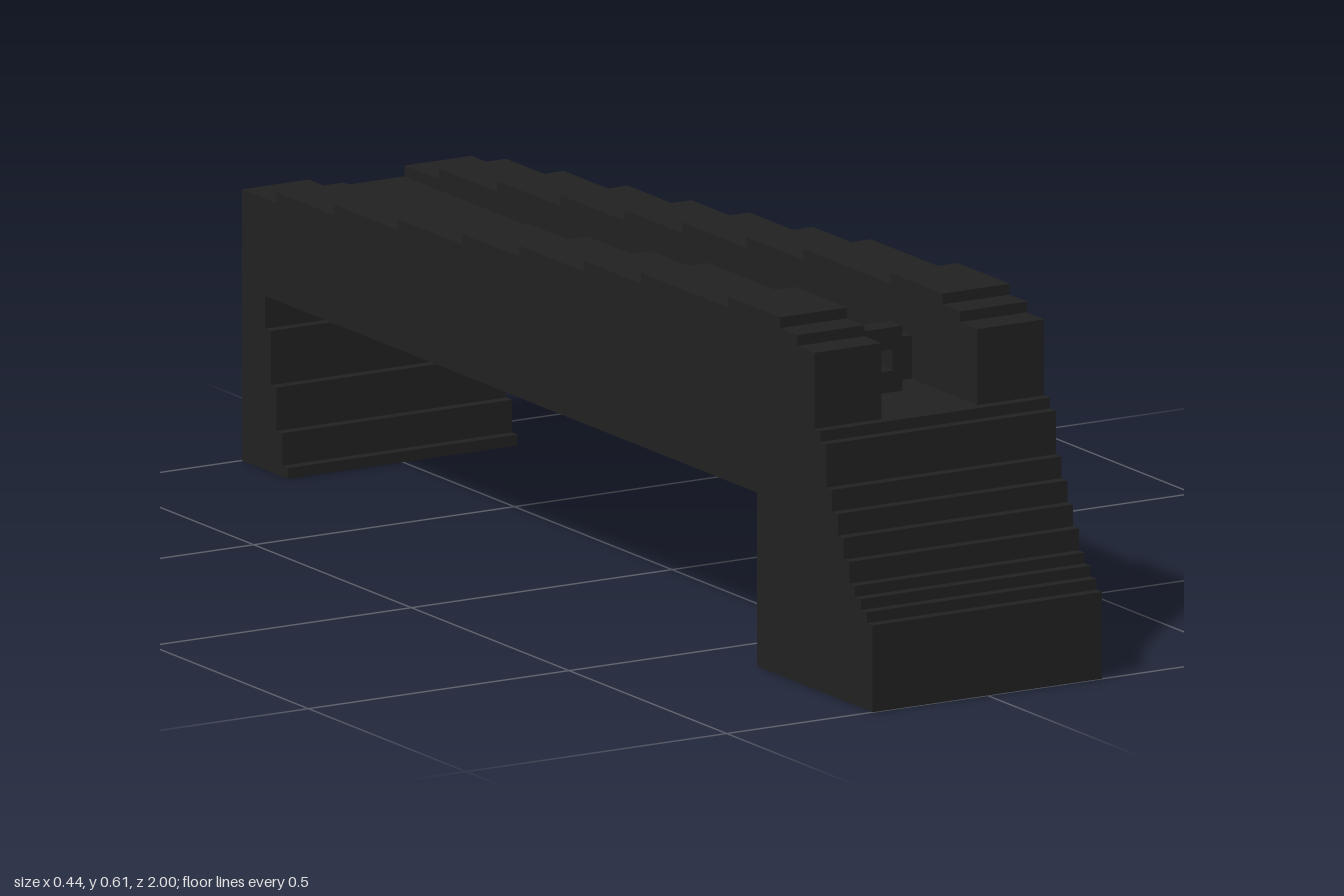
import * as THREE from 'three';

// One block unit: the model is 109 units long, 24 wide and 33 high
const U = 2 / 109;

export function createModel() {
  const group = new THREE.Group();
  group.name = 'slottedBridge';
  const black = new THREE.MeshStandardMaterial({ color: 0x222222 });
  black.name = 'matteBlack';

  // Points are [units back from the front end, units up]
  const toVector = ([d, y]) => new THREE.Vector2(1 - d * U, y * U);

  // Extrude a side profile across x, from x0 to x1 (units)
  function addProfile(name, points, x0, x1) {
    const shape = new THREE.Shape(points.map(toVector));
    const geometry = new THREE.ExtrudeGeometry(shape, { depth: (x1 - x0) * U, bevelEnabled: false });
    geometry.rotateY(-Math.PI / 2);
    geometry.translate(x1 * U, 0, 0);
    const mesh = new THREE.Mesh(geometry, black);
    mesh.name = name;
    group.add(mesh);
  }

  // Stair outline: each step is [start, height], running until the next start
  function stairs(steps, end) {
    return steps.flatMap(([d, y], i) => [[d, y], [i + 1 < steps.length ? steps[i + 1][0] : end, y]]);
  }

  // Body: stepped front foot, flat deck and rear foot with a stepped inner face
  const frontHeights = [8, 9, 10, 11, 13, 15, 17, 19, 23, 24];
  addProfile('body', [
    [0, 0],
    ...stairs(frontHeights.map((y, i) => [i, y]), 109),
    [109, 0], [101, 0], [101, 1], [102, 1], [102, 4], [103, 4],
    [103, 8], [104, 8], [104, 13], [105, 13], [105, 16],
    [20, 16], [20, 0],
  ], -12, 12);

  // Side rails, sloping down in steps towards the back
  const railSteps = [
    [10, 31], [13, 32], [16, 33], [25, 32], [40, 31], [50, 30],
    [61, 29], [71, 28], [82, 27], [93, 26], [103, 25],
  ];
  const rail = [[10, 24], ...stairs(railSteps, 109), [109, 24]];
  addProfile('leftRail', rail, 5, 12);
  addProfile('rightRail', rail, -12, -5);

  // Ring standing in the channel, with notched corners and a square hole
  const corners = [
    [-2, 24], [2, 24], [2, 25], [3, 25], [3, 29], [2, 29],
    [2, 30], [-2, 30], [-2, 29], [-3, 29], [-3, 25], [-2, 25],
  ];
  const scaled = (list) => list.map(([x, y]) => new THREE.Vector2(x * U, y * U));
  const ringShape = new THREE.Shape(scaled(corners));
  ringShape.holes.push(new THREE.Path(scaled([[-1, 26], [-1, 28], [1, 28], [1, 26]])));
  const ring = new THREE.Mesh(
    new THREE.ExtrudeGeometry(ringShape, { depth: 2 * U, bevelEnabled: false }), black);
  ring.name = 'ring';
  ring.position.z = 1 - 20 * U;
  group.add(ring);

  return group;
}
